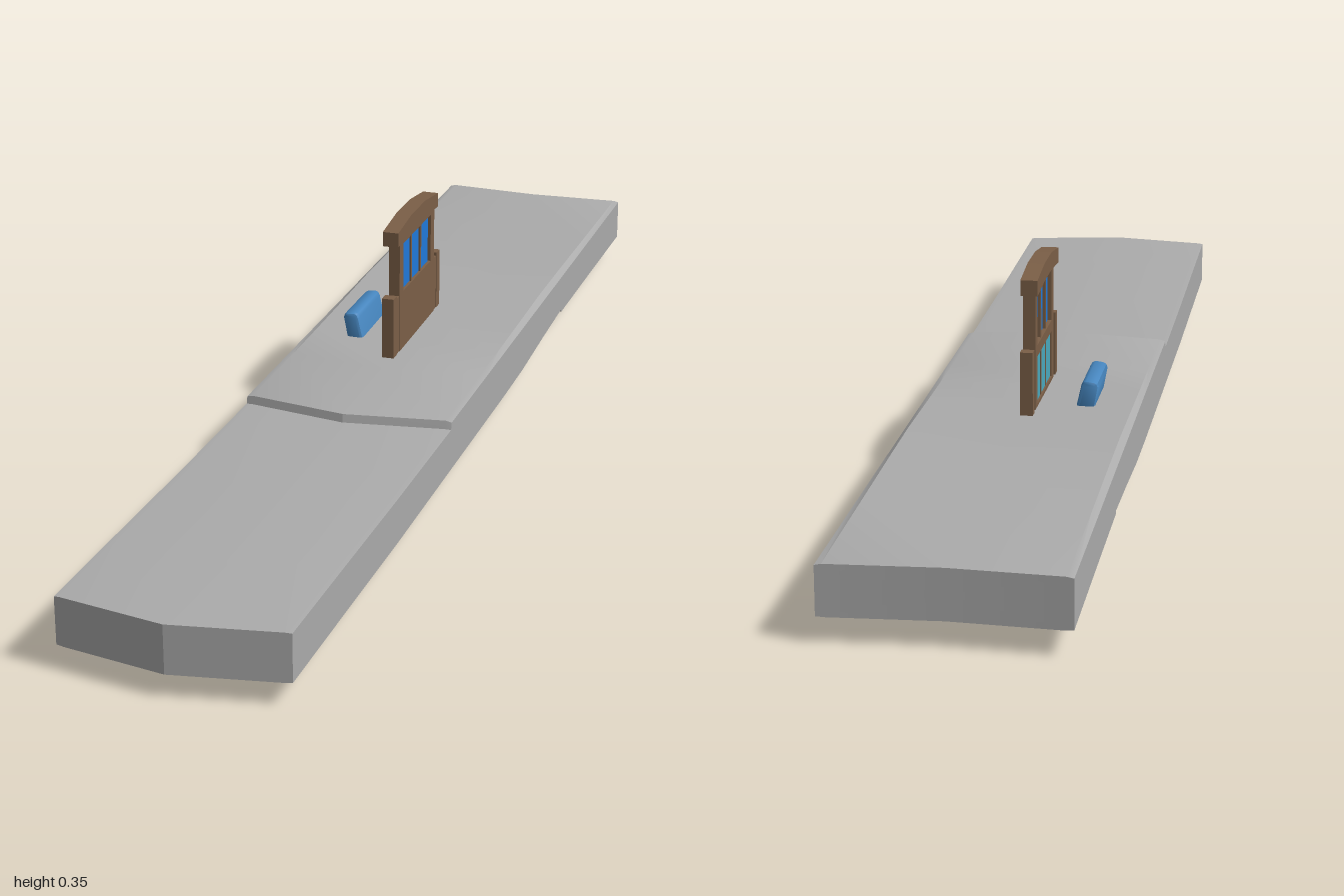
import * as THREE from 'three';
import { toCreasedNormals } from 'three/addons/utils/BufferGeometryUtils.js';

const paint = (name, color) => {
  const m = new THREE.MeshStandardMaterial({ color });
  m.name = name;
  return m;
};

export function createModel() {
  const stone = paint('grey stone', 0xababab);
  const wood = paint('brown wood', 0x7b5f47);
  const glass = paint('blue glass', 0x2079da);
  const teal = paint('teal glass', 0x4ba9bd);
  const fabric = paint('blue fabric', 0x4686bf);
  const navy = paint('navy panel', 0x312a62);
  const metal = paint('grey metal', 0x8f8a86);
  const red = paint('red feet', 0x96302f);

  const model = new THREE.Group();
  const add = (parent, name, geometry, material) => {
    const mesh = new THREE.Mesh(geometry, material);
    mesh.name = name;
    parent.add(mesh);
    return mesh;
  };
  // Box given by its lower and upper corners
  const box = (parent, name, material, [x0, y0, z0], [x1, y1, z1]) => {
    const mesh = add(parent, name, new THREE.BoxGeometry(x1 - x0, y1 - y0, z1 - z0), material);
    mesh.position.set((x0 + x1) / 2, (y0 + y1) / 2, (z0 + z1) / 2);
    return mesh;
  };
  const group = (name) => {
    const g = new THREE.Group();
    g.name = name;
    model.add(g);
    return g;
  };

  // Long gently wavy slab, lofted front to back: z at the edge, top, bottom, forward bulge at the middle
  const stations = [
    [0.968, 0.116, 0.037, 0.032], [0.75, 0.112, 0.034, 0.03], [0.5, 0.107, 0.028, 0.03],
    [0.205, 0.104, 0.023, 0.028], [0.202, 0.118, 0.023, 0.028], [0, 0.118, 0.019, 0.02],
    [-0.12, 0.119, 0.023, 0.01], [-0.25, 0.121, 0.032, 0.01], [-0.4, 0.124, 0.041, 0],
    [-0.53, 0.123, 0.047, 0], [-0.533, 0.123, 0.042, 0], [-0.75, 0.12, 0.041, 0], [-1, 0.117, 0.039, 0.01],
  ];
  const W = 0.18, positions = [], index = [], N = 10;
  for (const [z, t, b, bulge] of stations) {
    const te = Math.min(t - 0.001, 0.115), be = Math.max(b + 0.001, 0.031);
    const ring = [[-0.167, b], [0, b], [0.167, b], [W, be], [W, te],
      [0.17, t], [0, t], [-0.17, t], [-W, te], [-W, be]];
    for (const [x, y] of ring) positions.push(x, y, z + bulge * (1 - Math.abs(x) / W));
  }
  for (let i = 0; i < stations.length - 1; i++) {
    for (let j = 0; j < N; j++) {
      const k = (j + 1) % N, a = i * N + j, b = i * N + k, c = b + N, d = a + N;
      index.push(a, d, c, a, c, b);
    }
  }
  // End caps, creased along the middle
  for (const i of [0, stations.length - 1]) {
    const [z, t, b, bulge] = stations[i], hub = positions.length / 3;
    positions.push(0, (t + b) / 2, z + bulge);
    for (let j = 0; j < N; j++) {
      const p = i * N + j, q = i * N + (j + 1) % N;
      index.push(hub, ...(i === 0 ? [p, q] : [q, p]));
    }
  }
  const slab = new THREE.BufferGeometry();
  slab.setAttribute('position', new THREE.Float32BufferAttribute(positions, 3));
  slab.setIndex(index);
  add(model, 'slab', toCreasedNormals(slab, 0.3), stone);

  // Upright wooden screen standing along the slab
  const screen = group('screen');
  const mid = -0.165, x0 = -0.015, x1 = 0.005;
  for (const s of [-1, 1]) {
    const part = (name, near, far, lo, hi, xa, xb) => {
      const a = mid + s * near, b = mid + s * far;
      box(screen, name, wood, [xa, lo, Math.min(a, b)], [xb, hi, Math.max(a, b)]);
    };
    part('stile', 0.081, 0.102, 0.1, 0.325, x0, x1);
    part('innerPost', 0.102, 0.12, 0.035, 0.222, x0 + 0.002, x1 - 0.001);
    part('outerPost', 0.118, 0.137, 0.027, 0.228, x0 - 0.001, x1);
  }
  const zA = mid - 0.081, zB = mid + 0.081;
  box(screen, 'lowerBoard', wood, [-0.007, 0.1, zA], [x1, 0.225, zB]);
  box(screen, 'middleRail', wood, [x0, 0.206, zA], [x1, 0.225, zB]);
  box(screen, 'bottomRail', wood, [x0, 0.1, zA], [x1, 0.126, zB]);
  box(screen, 'topRail', wood, [x0, 0.313, zA], [x1, 0.33, zB]);
  for (let i = 0; i < 3; i++) {
    const a = zA + i * 0.054 + 0.002, b = a + 0.05;
    box(screen, 'upperPane', glass, [-0.008, 0.225, a], [0, 0.313, b]);
    box(screen, 'lowerPane', teal, [-0.012, 0.126, a], [-0.006, 0.206, b]);
  }
  for (const s of [-1, 1]) {
    const z = mid + s * 0.027;
    box(screen, 'mullion', wood, [x0 + 0.002, 0.12, z - 0.003], [x1 - 0.002, 0.315, z + 0.003]);
  }

  // Gabled header beam
  const gable = new THREE.Shape([
    [-0.117, 0.317], [0, 0.326], [0.117, 0.317], [0.117, 0.343], [0.04, 0.353], [-0.04, 0.353], [-0.117, 0.343],
  ].map(([x, y]) => new THREE.Vector2(x, y)));
  const header = add(screen, 'header',
    new THREE.ExtrudeGeometry(gable, { depth: 0.028, bevelEnabled: false }), wood);
  header.rotation.y = Math.PI / 2;
  header.position.set(-0.021, 0, mid);

  // Leaning cushion beside the screen
  const profile = new THREE.Shape([
    [-0.106, 0.11], [-0.075, 0.11], [-0.085, 0.155], [-0.088, 0.161], [-0.094, 0.164],
    [-0.107, 0.162], [-0.112, 0.159], [-0.114, 0.153],
  ].map(([x, y]) => new THREE.Vector2(x, y)));
  const cushion = new THREE.ExtrudeGeometry(profile, {
    depth: 0.115, bevelSize: 0.006, bevelOffset: -0.006, bevelThickness: 0.007, bevelSegments: 2,
  });
  add(model, 'cushion', toCreasedNormals(cushion, 0.7), fabric).position.z = -0.225;

  // Low footed frame under the slab
  const frame = group('underFrame');
  box(frame, 'framePanel', navy, [-0.068, 0.019, -0.236], [0.057, 0.034, -0.09]);
  for (const z of [-0.083, -0.243]) {
    box(frame, 'frameRail', metal, [-0.08, 0.016, z - 0.007], [0.069, 0.036, z + 0.007]);
    for (const x of [-0.073, 0.062]) {
      const foot = add(frame, 'foot', new THREE.CylinderGeometry(0.008, 0.005, 0.017, 10), red);
      foot.position.set(x, 0.0085, z);
    }
  }
  return model;
}
